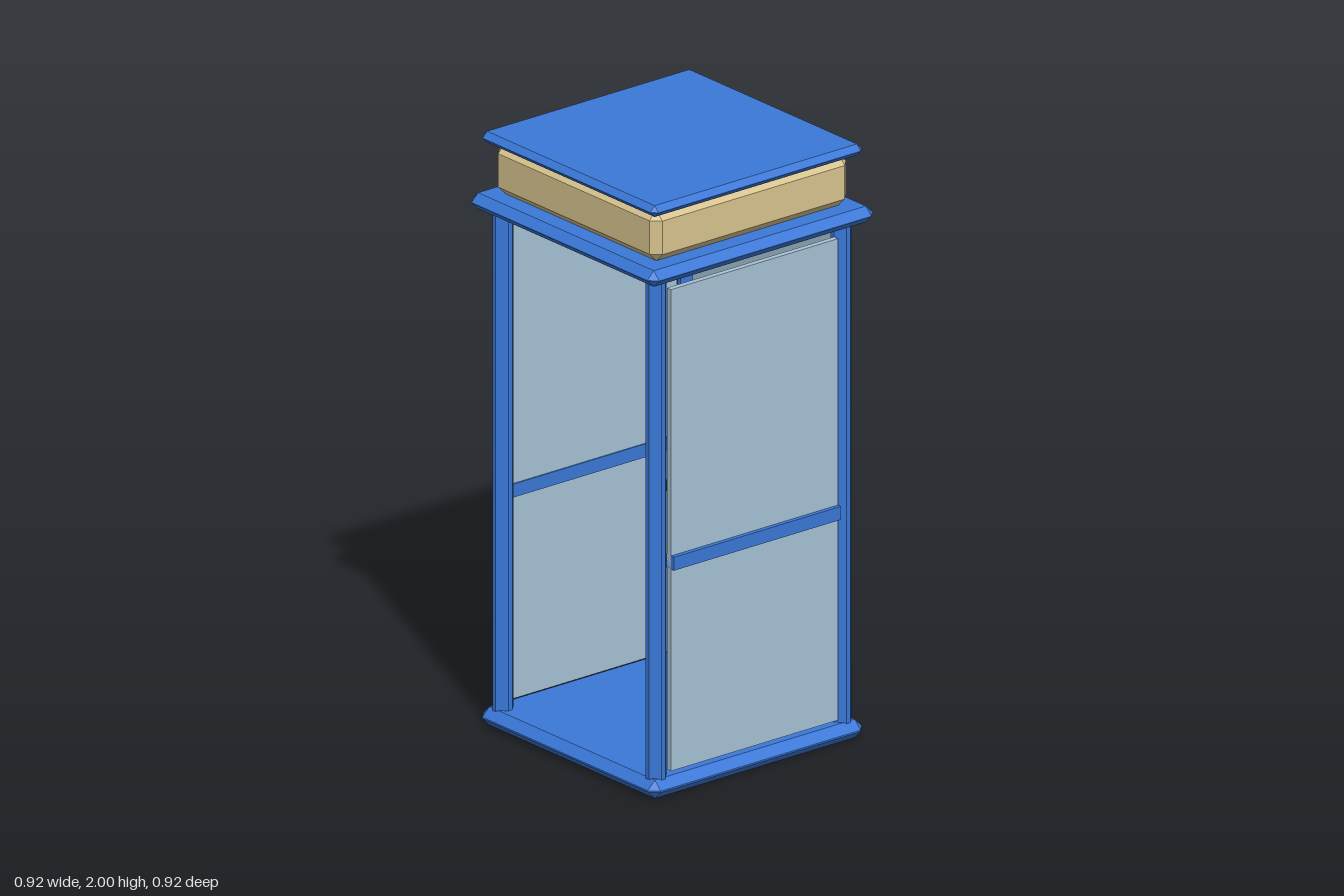
import * as THREE from 'three';
import { ConvexGeometry } from 'three/addons/geometries/ConvexGeometry.js';

const material = (name, color) => {
  const m = new THREE.MeshStandardMaterial({ color });
  m.name = name;
  return m;
};

// Box with all edges and corners cut off by c
function chamferedBox(w, h, d, c) {
  const points = [];
  for (const sx of [-1, 1]) for (const sy of [-1, 1]) for (const sz of [-1, 1]) {
    const x = w / 2, y = h / 2, z = d / 2;
    points.push(
      new THREE.Vector3(sx * x, sy * (y - c), sz * (z - c)),
      new THREE.Vector3(sx * (x - c), sy * y, sz * (z - c)),
      new THREE.Vector3(sx * (x - c), sy * (y - c), sz * z));
  }
  return new ConvexGeometry(points);
}

export function createModel() {
  const blue = material('blue paint', 0x3a78d8);
  const glass = material('pale glass', 0xa6c2d6);
  const cream = material('cream sign', 0xd8c48e);
  const dark = material('dark metal', 0x263038);
  const model = new THREE.Group();
  model.name = 'phoneBooth';

  // Adds a box between two corners, chamfered when c is given
  function block(name, mat, [x0, x1], [y0, y1], [z0, z1], c = 0) {
    const size = [x1 - x0, y1 - y0, z1 - z0];
    const geometry = c ? chamferedBox(...size, c) : new THREE.BoxGeometry(...size);
    const mesh = new THREE.Mesh(geometry, mat);
    mesh.name = name;
    mesh.position.set((x0 + x1) / 2, (y0 + y1) / 2, (z0 + z1) / 2);
    model.add(mesh);
  }
  const both = (v) => [-v, v];

  // Floor and stacked roof
  block('base', blue, both(0.435), [0, 0.062], both(0.435), 0.0285);
  block('cornice', blue, both(0.458), [1.738, 1.792], both(0.458), 0.0265);
  block('signBox', cream, both(0.4), [1.792, 1.963], both(0.4), 0.029);
  block('roofCap', blue, both(0.43), [1.962, 2], both(0.43), 0.0185);

  // Corner posts
  for (const sx of [-1, 1]) for (const sz of [-1, 1]) {
    const span = (s) => (s > 0 ? [0.34, 0.412] : [-0.412, -0.34]);
    block('cornerPost', blue, span(sx), [0.03, 1.77], span(sz), 0.028);
  }

  // Side walls: pane with a middle rail
  const paneY = [0.075, 1.697], railY = [0.755, 0.8];
  for (const s of [-1, 1]) {
    block('sidePane', glass, [s * 0.395 - 0.01, s * 0.395 + 0.01], paneY, both(0.34));
    block('sideRail', blue, [s * 0.4 - 0.02, s * 0.4 + 0.02], railY, both(0.34));
  }

  // Back wall
  block('backPane', glass, both(0.34), paneY, [-0.385, -0.365]);
  block('backRail', blue, both(0.34), railY, [-0.4, -0.36]);

  // Telephone, handset and shelf
  block('telephone', dark, both(0.153), [0.905, 1.21], [-0.367, -0.285], 0.028);
  block('handset', dark, [-0.117, -0.04], [1.077, 1.247], [-0.305, -0.262]);
  block('shelf', dark, both(0.19), [0.72, 0.755], [-0.365, -0.13]);

  return model;
}
